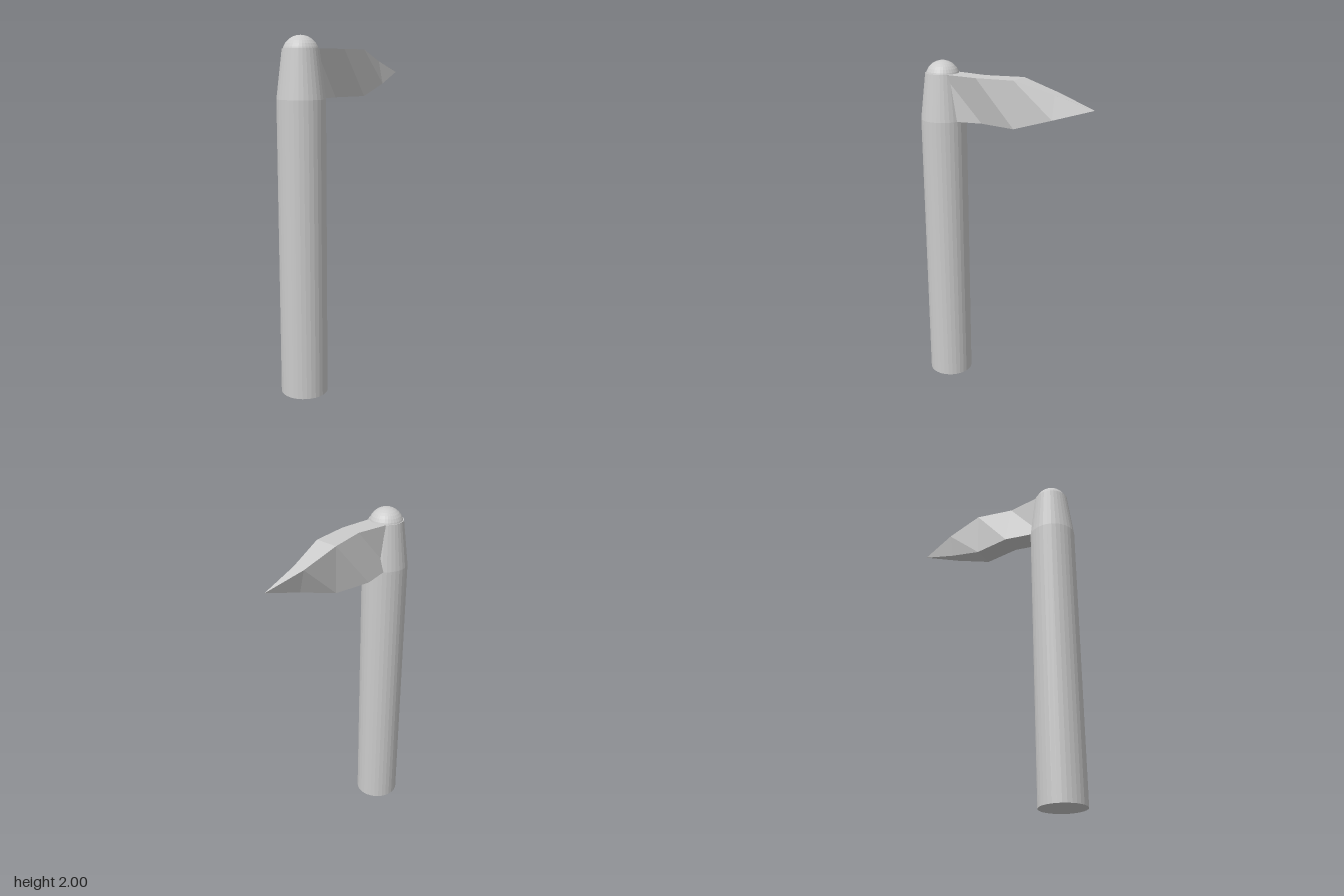
import * as THREE from 'three';

const grey = new THREE.MeshStandardMaterial({ color: 0xcccccc, flatShading: true });

function part(name, geometry, y = 0, z = 0) {
  const mesh = new THREE.Mesh(geometry, grey);
  mesh.name = name;
  mesh.position.set(0, y, z);
  return mesh;
}

// Lofts four-cornered sections and closes both ends.
function loft(sections) {
  const points = sections.flat();
  const index = [0, 2, 1, 0, 3, 2];
  for (let s = 0; s < sections.length - 1; s++) {
    for (let i = 0; i < 4; i++) {
      const a = s * 4 + i, b = s * 4 + (i + 1) % 4;
      index.push(a, b, b + 4, a, b + 4, a + 4);
    }
  }
  const e = points.length - 4;
  index.push(e, e + 1, e + 2, e, e + 2, e + 3);
  const geometry = new THREE.BufferGeometry();
  geometry.setAttribute('position', new THREE.Float32BufferAttribute(points.flat(), 3));
  geometry.setIndex(index);
  const flat = geometry.toNonIndexed();
  flat.computeVertexNormals();
  return flat;
}

export function createModel() {
  const model = new THREE.Group();
  model.name = 'bannerPole';

  // Pole: shaft, tapered head and rounded cap
  const poleZ = 0.4;
  model.add(part('shaft', new THREE.CylinderGeometry(0.133, 0.133, 1.665, 32), 0.8325, poleZ));
  model.add(part('taperedHead', new THREE.CylinderGeometry(0.1, 0.133, 0.265, 32), 1.7975, poleZ));
  model.add(part('roundedCap', new THREE.SphereGeometry(0.1, 32, 16), 1.9, poleZ));

  // Waving pennant: z, half height, top x range, bottom x range
  const stations = [
    [0.355, 0.1325, -0.068, 0.068, -0.068, 0.068],
    [0.133, 0.1325, -0.028, 0.09, -0.108, 0.028],
    [-0.088, 0.1325, -0.068, 0.068, -0.068, 0.068],
    [-0.31, 0.066, -0.053, 0.02, -0.022, 0.049],
    [-0.532, 0.0005, -0.0005, 0.0005, -0.0005, 0.0005],
  ];
  const midY = 1.7975;
  const sections = stations.map(([z, h, tl, tr, bl, br]) => [
    [tl, midY + h, z], [tr, midY + h, z], [br, midY - h, z], [bl, midY - h, z],
  ].reverse());
  model.add(part('pennant', loft(sections.map((s) => s.reverse()))));

  return model;
}
